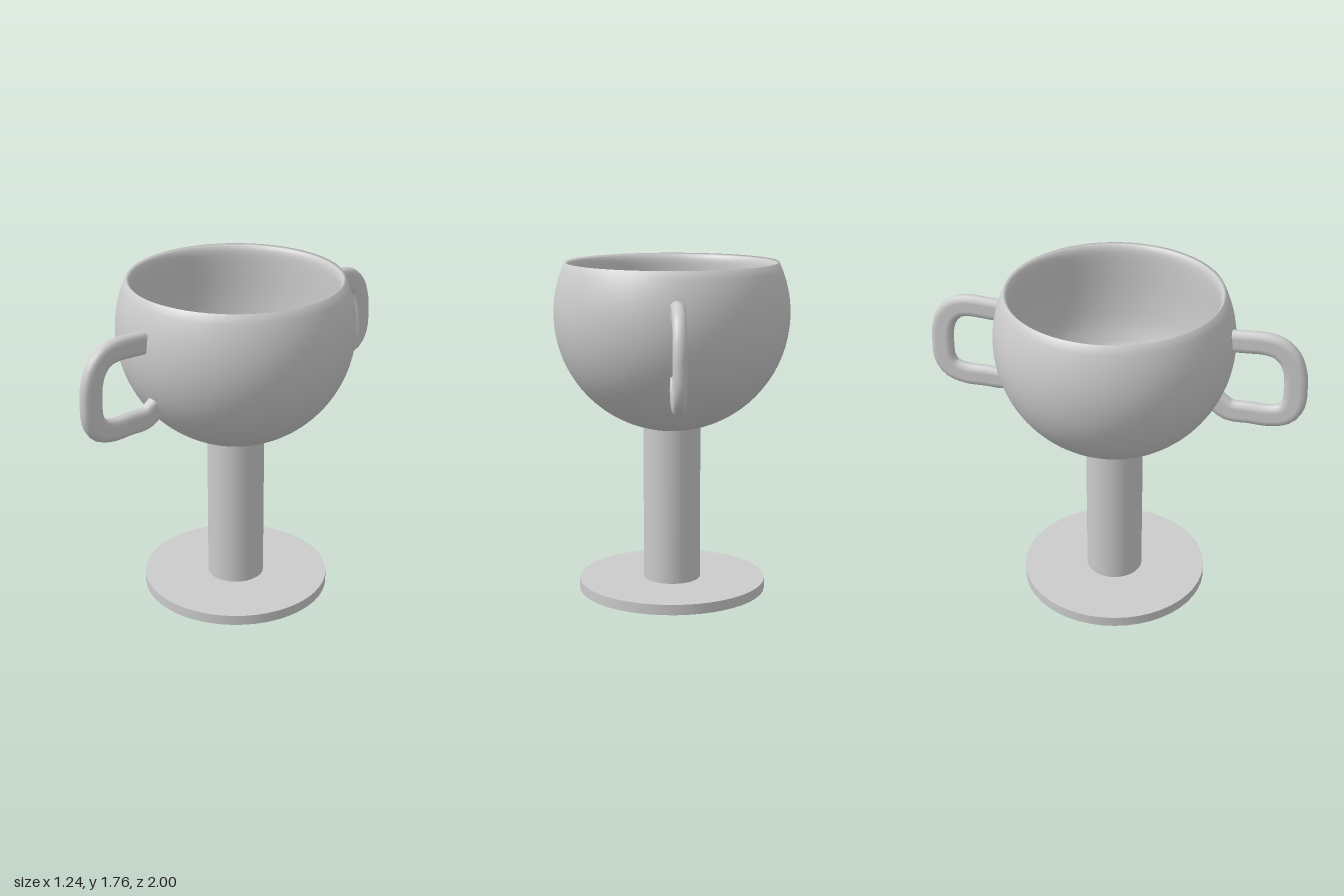
import * as THREE from 'three';

const CENTRE_Y = 1.49; // centre of the spherical bowl
const STEM_RADIUS = 0.152;

// Points on a circular arc around the bowl centre, between two angles from straight down
function arc(radius, from, to, steps) {
  return Array.from({ length: steps + 1 }, (_, i) => {
    const a = from + ((to - from) * i) / steps;
    return new THREE.Vector2(Math.max(0, radius * Math.sin(a)), CENTRE_Y - radius * Math.cos(a));
  });
}

// Flat-sided oval tube: a round tube squeezed sideways and trimmed to a fixed half width
function handleGeometry(curve, halfWidth) {
  const tube = new THREE.TubeGeometry(curve, 40, 0.06, 16);
  const pos = tube.attributes.position;
  for (let i = 0; i < pos.count; i++) {
    pos.setX(i, THREE.MathUtils.clamp(pos.getX(i) * 0.75, -halfWidth, halfWidth));
  }
  tube.computeVertexNormals();
  return tube;
}

export function createModel() {
  const cup = new THREE.Group();
  cup.name = 'twoHandledCup';
  const material = new THREE.MeshStandardMaterial({ color: 0xcccccc });

  const add = (name, geometry) => {
    const mesh = new THREE.Mesh(geometry, material);
    mesh.name = name;
    cup.add(mesh);
    return mesh;
  };

  // Flat round foot and plain stem
  add('foot', new THREE.CylinderGeometry(0.5, 0.5, 0.055, 48)).position.y = 0.0275;
  add('stem', new THREE.CylinderGeometry(STEM_RADIUS, STEM_RADIUS, 0.85, 40, 1, true)).position.y = 0.475;

  // Bowl: outer shell, softly rolled lip, steep inner wall and round floor in one profile
  const outer = arc(0.62, Math.asin(STEM_RADIUS / 0.62), Math.PI - Math.acos(0.27 / 0.62), 22);
  const wall = new THREE.SplineCurve([
    new THREE.Vector2(0.546, 1.752),
    new THREE.Vector2(0.534, 1.725),
    new THREE.Vector2(0.53, 1.66),
    new THREE.Vector2(0.53, 1.45),
    new THREE.Vector2(0.515, 1.29),
    new THREE.Vector2(0.48, 1.185),
  ]).getPoints(20);
  const floor = arc(0.57, 0.95, 0, 14);
  add('bowl', new THREE.LatheGeometry([...outer, ...wall, ...floor], 64));

  // Handle centre line as [z, y], from the upper joint round to the lower one
  const path = [
    [0.585, 1.56], [0.69, 1.567], [0.78, 1.57], [0.85, 1.553], [0.905, 1.5],
    [0.934, 1.42], [0.94, 1.34], [0.935, 1.245], [0.9, 1.187], [0.82, 1.16],
    [0.71, 1.16], [0.605, 1.161], [0.54, 1.205],
  ].map(([z, y]) => new THREE.Vector3(0, y, z));
  const curve = new THREE.CatmullRomCurve3(path, false, 'centripetal');

  // One handle in front, its mirror behind
  for (const [name, turn] of [['frontHandle', 0], ['backHandle', Math.PI]]) {
    add(name, handleGeometry(curve, 0.032)).rotation.y = turn;
  }

  return cup;
}
